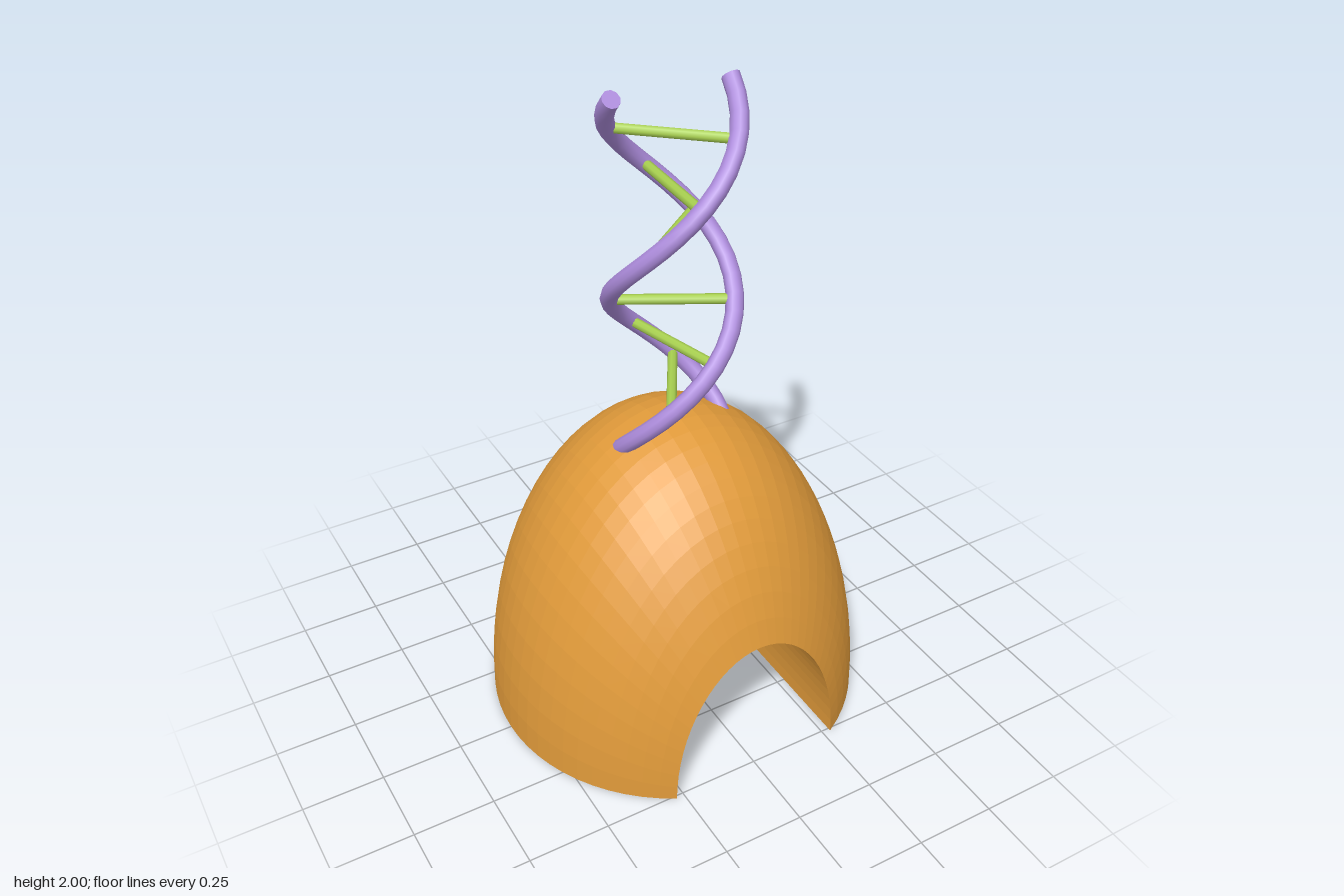
import * as THREE from 'three';

const R = 0.58, H = 0.997;      // dome radius and height
const BORE = 0.475;             // tunnel size as a fraction of the dome
const HELIX_R = 0.175, BASE = 0.92, RISE = 1.06;

const paint = (color, flatShading = false) => new THREE.MeshStandardMaterial({ color, flatShading });

function add(parent, name, geometry, material) {
  const mesh = new THREE.Mesh(geometry, material);
  mesh.name = name;
  parent.add(mesh);
  return mesh;
}

// Point on a strand: one full turn from t = 0 to 1, offset by a phase
function helixPoint(t, phase) {
  const a = phase - t * Math.PI * 2;
  return new THREE.Vector3(HELIX_R * Math.cos(a), BASE + RISE * t, HELIX_R * Math.sin(a));
}

class Helix extends THREE.Curve {
  constructor(phase) { super(); this.phase = phase; }
  getPoint(t, target = new THREE.Vector3()) { return target.copy(helixPoint(t, this.phase)); }
}

// Half ellipsoid with a tunnel along z: a bored sphere, turned about z, then stretched
function buildDome() {
  const dome = new THREE.Group();
  dome.name = 'dome';
  const mat = paint(0xe09a3a, true);
  const edge = Math.acos(BORE), steps = 24;
  const profile = [];
  for (let i = 0; i <= steps; i++) {
    const a = -edge + (2 * edge * i) / steps;
    profile.push(new THREE.Vector2(Math.cos(a), Math.sin(a)));
  }

  const shell = new THREE.LatheGeometry([...profile, profile[0].clone()], 32, Math.PI / 2, Math.PI);
  shell.rotateX(Math.PI / 2).scale(R, H, R);
  add(dome, 'domeShellWithTunnel', shell, mat);

  // Flat undersides on either side of the tunnel
  for (const [name, turn] of [['leftUnderside', 0], ['rightUnderside', Math.PI]]) {
    const foot = new THREE.ShapeGeometry(new THREE.Shape(profile));
    foot.rotateX(Math.PI / 2).rotateY(turn).scale(R, 1, R);
    add(dome, name, foot, mat);
  }
  return dome;
}

function buildHelix() {
  const helix = new THREE.Group();
  helix.name = 'doubleHelix';
  const strandMat = paint(0xad8cdc), rungMat = paint(0xa8d050);

  // Two strands with closed ends
  for (const [name, phase] of [['leftStrand', 0], ['rightStrand', Math.PI]]) {
    const curve = new Helix(phase);
    add(helix, name, new THREE.TubeGeometry(curve, 28, 0.026, 10), strandMat);
    for (const t of [0, 1]) {
      const cap = add(helix, name + 'End', new THREE.CircleGeometry(0.026, 10), strandMat);
      const outward = curve.getTangent(t).multiplyScalar(t ? 1 : -1);
      cap.position.copy(helixPoint(t, phase));
      cap.lookAt(cap.position.clone().add(outward));
    }
  }

  // Rungs joining the strands
  for (const y of [1.095, 1.225, 1.365, 1.565, 1.705, 1.855]) {
    const p = helixPoint((y - BASE) / RISE, 0);
    const rung = add(helix, 'rung', new THREE.CylinderGeometry(0.015, 0.015, HELIX_R * 2, 8), rungMat);
    rung.position.y = y;
    rung.quaternion.setFromUnitVectors(
      new THREE.Vector3(0, 1, 0), new THREE.Vector3(p.x, 0, p.z).normalize());
  }
  return helix;
}

export function createModel() {
  const model = new THREE.Group();
  model.name = 'domeWithHelix';
  model.add(buildDome(), buildHelix());
  return model;
}
